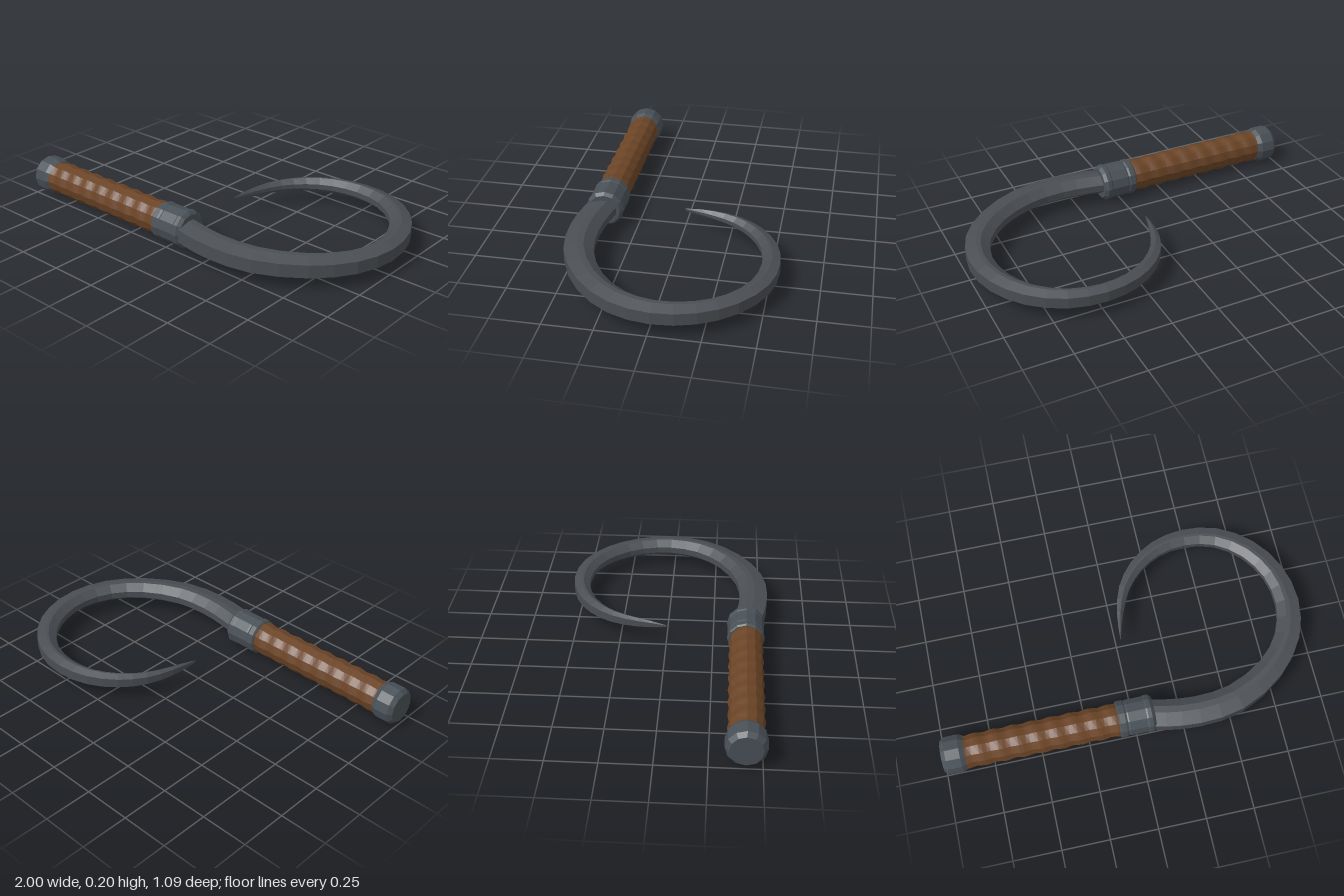
import * as THREE from 'three';

const AXIS_Y = 0.105, AXIS_Z = 0.422, SIDES = 12;

// Faceted normals for the low-poly look
function facet(geo) {
  const flat = geo.index ? geo.toNonIndexed() : geo;
  flat.computeVertexNormals();
  return flat;
}

// Turned part along the handle axis; profile is [x, radius] from left to right
function turned(name, profile, material) {
  const geo = new THREE.LatheGeometry(profile.map(([x, r]) => new THREE.Vector2(r, x)), SIDES);
  geo.rotateZ(-Math.PI / 2);
  geo.translate(0, AXIS_Y, AXIS_Z);
  const mesh = new THREE.Mesh(facet(geo), material);
  mesh.name = name;
  return mesh;
}

// Leather grip with a shallow spiral ripple
function makeGrip(material) {
  const x0 = -0.89, x1 = -0.08;
  const geo = new THREE.CylinderGeometry(1, 1, x1 - x0, SIDES, 40, true);
  const p = geo.attributes.position;
  for (let i = 0; i < p.count; i++) {
    const a = Math.atan2(p.getZ(i), p.getX(i));
    const r = 0.087 + 0.0035 * Math.sin(p.getY(i) * 2 * Math.PI / 0.1 + a);
    p.setX(i, Math.cos(a) * r);
    p.setZ(i, Math.sin(a) * r);
  }
  geo.rotateZ(-Math.PI / 2);
  geo.translate((x0 + x1) / 2, AXIS_Y, AXIS_Z);
  const mesh = new THREE.Mesh(facet(geo), material);
  mesh.name = 'grip';
  return mesh;
}

// Curved blade: octagonal section swept along a tapering hook
function makeBlade(material) {
  // x, z of the centreline, and blade width
  const path = [
    [0.04, 0.42, 0.145], [0.16, 0.447, 0.15], [0.33, 0.465, 0.15], [0.54, 0.44, 0.147],
    [0.755, 0.325, 0.134], [0.89, 0.165, 0.127], [0.94, -0.02, 0.12], [0.91, -0.205, 0.113],
    [0.813, -0.363, 0.105], [0.66, -0.472, 0.097], [0.485, -0.505, 0.09], [0.325, -0.475, 0.081],
    [0.195, -0.395, 0.07], [0.105, -0.285, 0.055], [0.053, -0.15, 0.034], [0.023, 0, 0.002],
  ];
  const curve = new THREE.CatmullRomCurve3(path.map(([x, z, w]) => new THREE.Vector3(x, w, z)));
  const steps = (path.length - 1) * 2;
  const pos = [], index = [];
  for (let i = 0; i <= steps; i++) {
    const t = i / steps;
    const c = curve.getPoint(t), d = curve.getTangent(t);
    const len = Math.hypot(d.x, d.z);
    const ox = -d.z / len, oz = d.x / len;
    const w = Math.max(c.y, 0.002), h = 0.055 * Math.sqrt(w / 0.15);
    const ridge = -0.2 + 0.15 * t;
    // [across from inner to outer edge, height]
    const section = [
      [ridge, 1], [0.04, 1], [0.5, 0.64], [0.5, -0.64],
      [0.04, -1], [ridge, -1], [-0.5, -0.35], [-0.5, 0.35],
    ];
    for (const [u, v] of section) pos.push(c.x + ox * u * w, AXIS_Y + v * h, c.z + oz * u * w);
    if (i === steps) break;
    for (let j = 0; j < 8; j++) {
      const a = i * 8 + j, b = i * 8 + (j + 1) % 8;
      index.push(a, b, b + 8, a, b + 8, a + 8);
    }
  }
  const geo = new THREE.BufferGeometry();
  geo.setAttribute('position', new THREE.Float32BufferAttribute(pos, 3));
  geo.setIndex(index);
  const mesh = new THREE.Mesh(facet(geo), material);
  mesh.name = 'blade';
  return mesh;
}

export function createModel() {
  const steel = new THREE.MeshStandardMaterial({ color: 0x4a4e53 });
  steel.name = 'blade steel';
  const iron = new THREE.MeshStandardMaterial({ color: 0x485056 });
  iron.name = 'fitting iron';
  const leather = new THREE.MeshStandardMaterial({ color: 0x6b4426 });
  leather.name = 'brown leather';

  const model = new THREE.Group();
  model.name = 'sickle';
  model.add(
    turned('pommel', [[-1, 0], [-1, 0.08], [-0.978, 0.099], [-0.905, 0.1], [-0.88, 0.088], [-0.88, 0]], iron),
    makeGrip(leather),
    turned('collar', [
      [-0.088, 0], [-0.088, 0.09], [-0.08, 0.098], [-0.052, 0.098], [-0.042, 0.093],
      [-0.034, 0.096], [0.058, 0.096], [0.066, 0.1], [0.086, 0.1], [0.103, 0.085], [0.103, 0],
    ], iron),
    makeBlade(steel),
  );
  return model;
}
